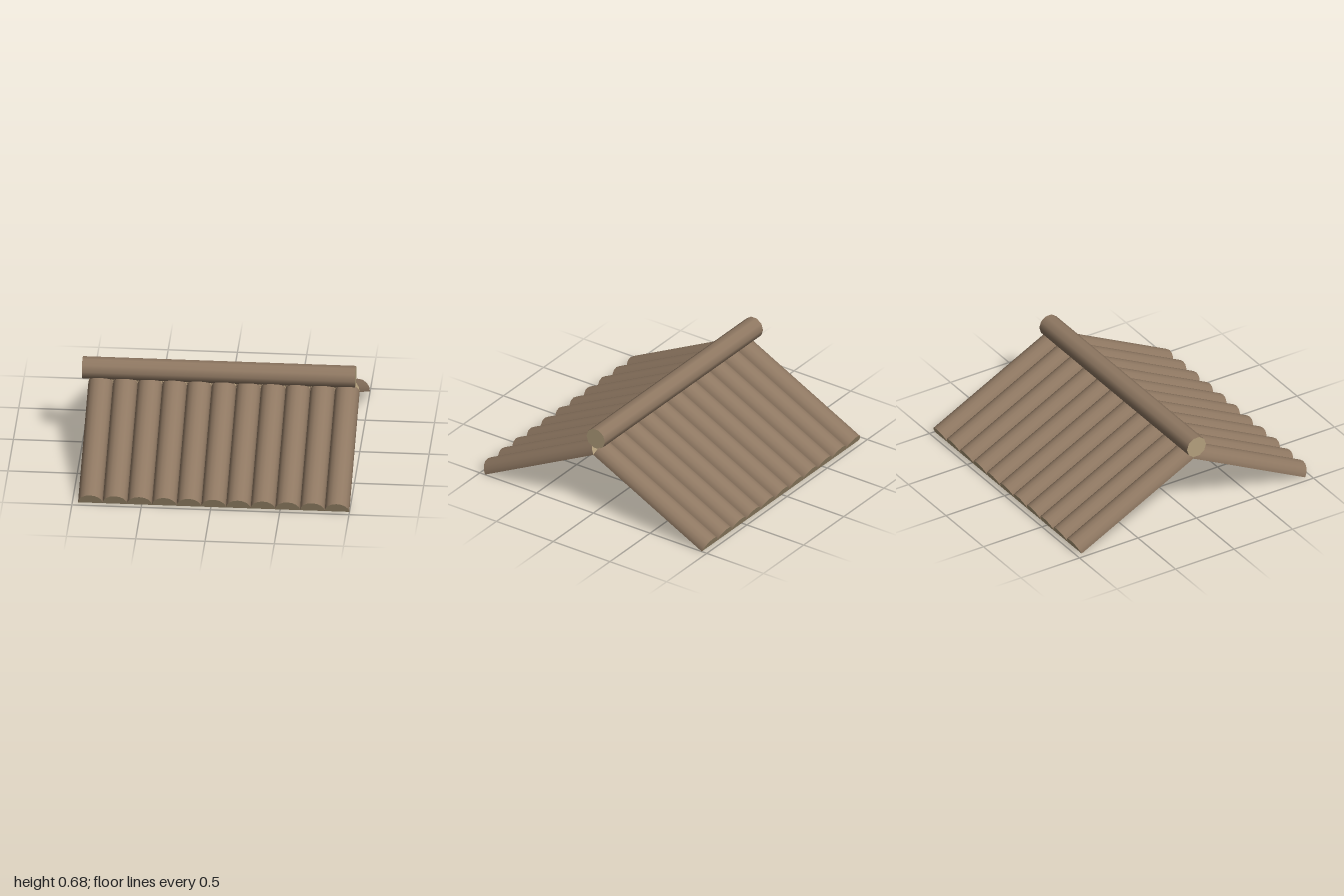
import * as THREE from 'three';

const RISE = 0.483, RUN = 0.955;      // underside of each slope
const COUNT = 11, RADIUS = 0.089;     // half logs per slope
const CENTRE_X = 0.02;

export function createModel() {
  const model = new THREE.Group();
  model.name = 'logRoof';
  const bark = new THREE.MeshStandardMaterial({ color: 0x8f7862 });
  const cutWood = new THREE.MeshStandardMaterial({ color: 0xb39f7c });
  const length = Math.hypot(RISE, RUN);

  // Half log lying along +z, round side up, with a flat sawn underside
  const halfLog = new THREE.CylinderGeometry(RADIUS, RADIUS, length, 8, 1, false, -Math.PI / 2, Math.PI);
  halfLog.rotateX(-Math.PI / 2).translate(0, 0, length / 2);
  const sawnFace = new THREE.PlaneGeometry(2 * RADIUS, length);
  sawnFace.rotateX(Math.PI / 2).translate(0, 0, length / 2);

  function slope(name) {
    const side = new THREE.Group();
    side.name = name;
    const tilted = new THREE.Group();
    tilted.name = name + 'Logs';
    tilted.rotation.x = Math.atan2(RISE, RUN);
    for (let i = 0; i < COUNT; i++) {
      const log = new THREE.Group();
      log.name = 'halfLog' + (i + 1);
      const round = new THREE.Mesh(halfLog, [bark, cutWood, cutWood]);
      round.name = 'logBark';
      const under = new THREE.Mesh(sawnFace, cutWood);
      under.name = 'logUnderside';
      log.add(round, under);
      log.position.x = (i - (COUNT - 1) / 2) * 2 * RADIUS;
      tilted.add(log);
    }
    side.add(tilted);
    side.position.set(CENTRE_X, RISE, 0);
    return side;
  }

  const front = slope('frontSlope');
  const back = slope('backSlope');
  back.rotation.y = Math.PI;

  // Ridge beam, a full round log along x
  const beam = new THREE.CylinderGeometry(0.081, 0.081, 1.97, 10);
  beam.rotateZ(Math.PI / 2);
  const ridge = new THREE.Mesh(beam, [bark, cutWood, cutWood]);
  ridge.name = 'ridgeBeam';
  ridge.position.set(-0.015, 0.603, 0);

  model.add(front, back, ridge);
  return model;
}
